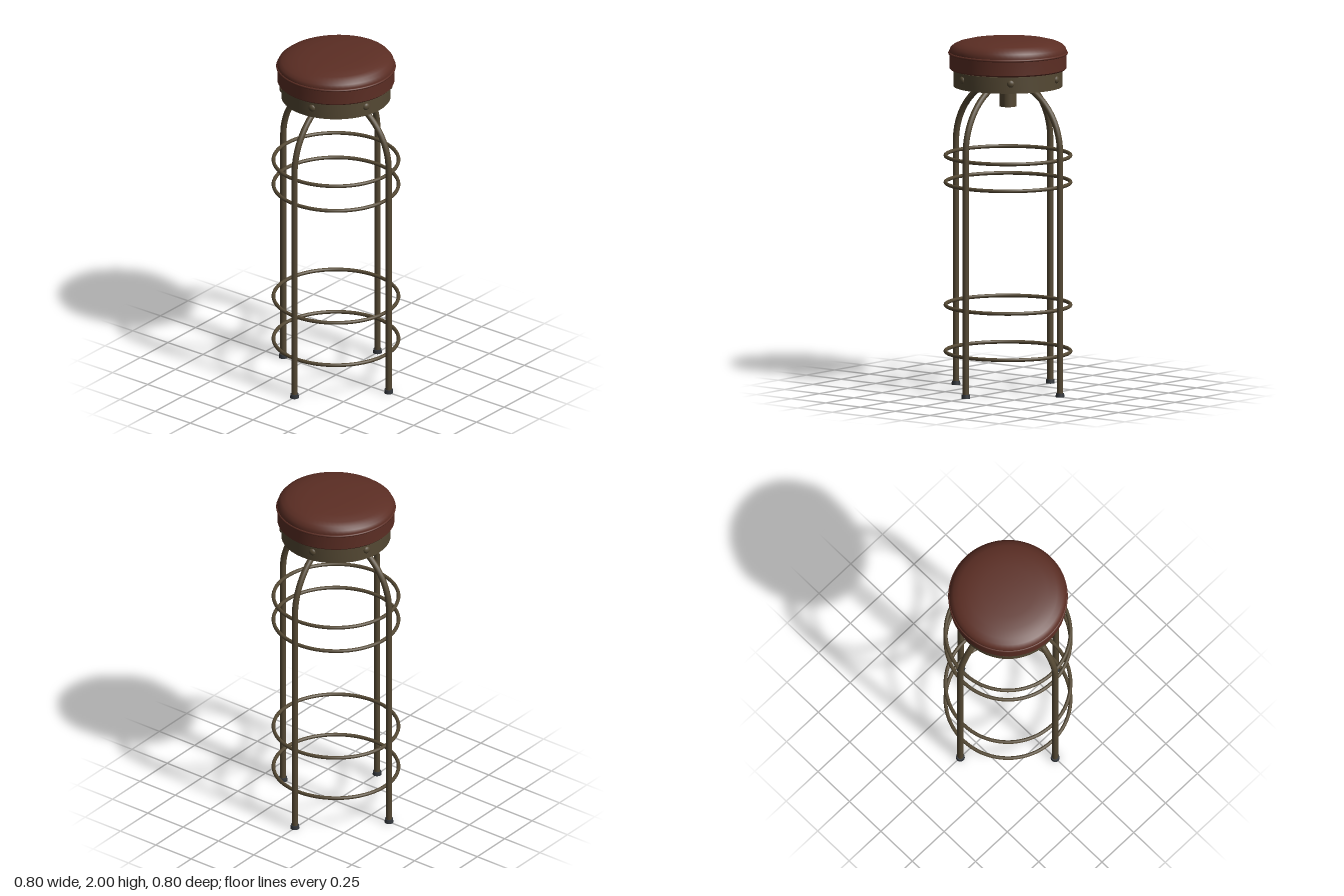
import * as THREE from 'three';
import { toCreasedNormals } from 'three/addons/utils/BufferGeometryUtils.js';

const mat = (name, color, side = THREE.FrontSide) => {
  const m = new THREE.MeshStandardMaterial({ color, side });
  m.name = name;
  return m;
};

export function createModel() {
  const leather = mat('brown leather', 0x5c2e24);
  const metal = mat('aged bronze', 0x544833);
  const dark = mat('dark steel', 0x33373c);

  const model = new THREE.Group();
  model.name = 'barStool';
  const add = (name, geometry, material, x = 0, y = 0, z = 0, parent = model) => {
    const mesh = new THREE.Mesh(geometry, material);
    mesh.name = name;
    mesh.position.set(x, y, z);
    parent.add(mesh);
    return mesh;
  };
  const lathe = (points, segments = 64) => toCreasedNormals(
    new THREE.LatheGeometry(points.map(([r, y]) => new THREE.Vector2(r, y)), segments), 0.6);
  const hoop = (radius, tube) => new THREE.TorusGeometry(radius, tube, 10, 72).rotateX(Math.PI / 2);

  // Cushion: straight side wall and a soft, slightly lopsided dome
  let cushion = new THREE.LatheGeometry([
    [0, 1.82], [0.32, 1.82], [0.328, 1.828], [0.328, 1.91], [0.329, 1.925], [0.322, 1.943],
    [0.305, 1.959], [0.275, 1.973], [0.22, 1.986], [0.15, 1.994], [0.07, 1.998], [0, 1.999],
  ].map(([r, y]) => new THREE.Vector2(r, y)), 64);
  const p = cushion.attributes.position;
  for (let i = 0; i < p.count; i++) {
    const lift = THREE.MathUtils.smoothstep(p.getY(i), 1.92, 1.97);
    p.setY(i, p.getY(i) + lift * 0.02 * (p.getX(i) - p.getZ(i)));
  }
  cushion = toCreasedNormals(cushion, 0.7);
  add('cushion', cushion, leather);
  add('cushionPiping', hoop(0.328, 0.007), leather, 0, 1.912, 0);

  // Seat band with a dark inner lining
  add('seatBand', lathe([[0.293, 1.725], [0.306, 1.725], [0.306, 1.816], [0.293, 1.816]]), metal);
  add('bandLining', lathe([[0.293, 1.816], [0.293, 1.725]]), dark);

  // Six domed rivets around the band
  const rivets = new THREE.Group();
  rivets.name = 'rivets';
  model.add(rivets);
  const rivetShape = new THREE.SphereGeometry(0.021, 16, 10).scale(1, 1, 0.65);
  for (let i = 0; i < 6; i++) {
    const a = THREE.MathUtils.degToRad(12 + 60 * i);
    add('rivet', rivetShape, metal, 0.304 * Math.sin(a), 1.78, 0.304 * Math.cos(a), rivets).rotation.y = a;
  }

  // Mounting plate and hollow swivel post
  add('mountingPlate', new THREE.BoxGeometry(0.26, 0.02, 0.26), dark, 0, 1.808, 0);
  add('swivelPost', lathe([
    [0.036, 1.8], [0.036, 1.61], [0.048, 1.61], [0.048, 1.8],
  ], 32), metal);

  // Two crossing hoops form the four legs
  const R = 0.375, spring = 1.38;
  const path = new THREE.CurvePath();
  path.add(new THREE.LineCurve3(new THREE.Vector3(R, 0.01, 0), new THREE.Vector3(R, spring, 0)));
  const arc = [];
  for (let i = 0; i <= 32; i++) {
    const a = (Math.PI * i) / 32;
    arc.push(new THREE.Vector3(R * Math.cos(a), spring + R * Math.sin(a), 0));
  }
  path.add(new THREE.CatmullRomCurve3(arc));
  path.add(new THREE.LineCurve3(new THREE.Vector3(-R, spring, 0), new THREE.Vector3(-R, 0.01, 0)));
  const legShape = new THREE.TubeGeometry(path, 140, 0.0175, 14, false);
  for (let i = 0; i < 2; i++) add('legPair', legShape, metal).rotation.y = (i * Math.PI) / 2;

  // Foot caps
  const footShape = new THREE.CylinderGeometry(0.023, 0.025, 0.022, 24);
  for (let i = 0; i < 4; i++) {
    const a = (i * Math.PI) / 2;
    add('footCap', footShape, dark, R * Math.cos(a), 0.011, R * Math.sin(a));
  }

  // Bracing rings
  for (const y of [0.225, 0.487, 1.18, 1.332]) add('bracingRing', hoop(0.35, 0.0105), metal, 0, y, 0);

  return model;
}
